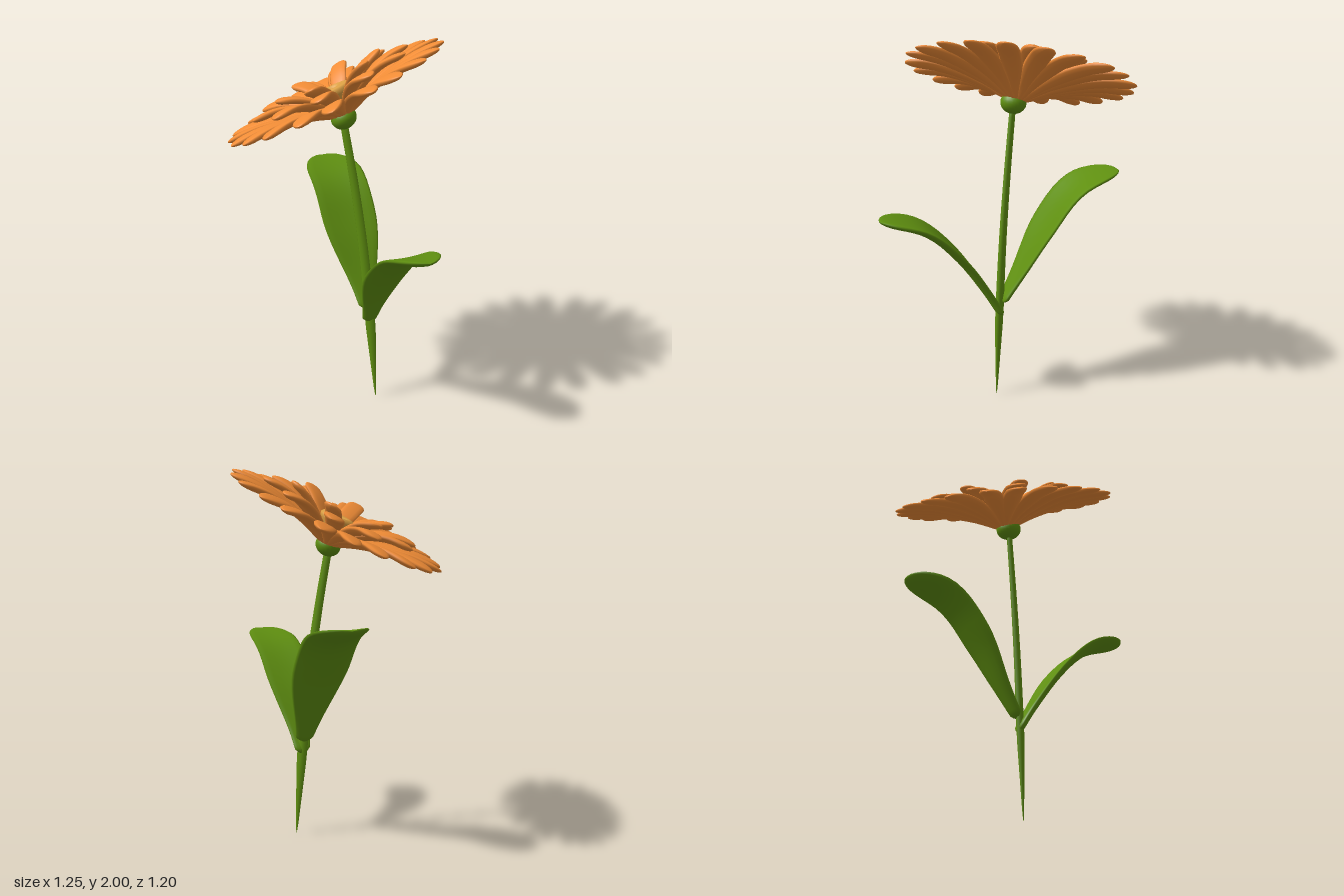
import * as THREE from 'three';

const green = new THREE.MeshStandardMaterial({ color: 0x5f8f10, side: THREE.DoubleSide });
const orange = new THREE.MeshStandardMaterial({ color: 0xf08c36, side: THREE.DoubleSide });
const yellow = new THREE.MeshStandardMaterial({ color: 0xdba044, side: THREE.DoubleSide });

const vec = (p) => new THREE.Vector3(...p);

// Closed blade swept along a curve: half-width and half-thickness follow t, edges lift by cup
function blade(points, lateral, half, thick, cup, rings = 20, sides = 12) {
  const curve = new THREE.CatmullRomCurve3(points.map(vec));
  const pos = [], index = [];
  for (let i = 0; i <= rings; i++) {
    const t = 0.5 - 0.5 * Math.cos((i / rings) * Math.PI);
    const c = curve.getPointAt(t);
    const n = curve.getTangentAt(t).cross(lateral).normalize();
    const w = half(t), h = thick(t);
    for (let j = 0; j < sides; j++) {
      const a = (j / sides) * Math.PI * 2;
      const p = c.clone()
        .addScaledVector(lateral, w * Math.cos(a))
        .addScaledVector(n, h * Math.sin(a) + cup * w * Math.cos(a) ** 2);
      pos.push(p.x, p.y, p.z);
      if (i < rings) {
        const k = (j + 1) % sides, r = i * sides;
        index.push(r + j, r + k, r + sides + j, r + k, r + sides + k, r + sides + j);
      }
    }
  }
  const g = new THREE.BufferGeometry();
  g.setAttribute('position', new THREE.Float32BufferAttribute(pos, 3));
  g.setIndex(index);
  g.computeVertexNormals();
  return g;
}

// Rounds both ends of a blade to zero
const ends = (t, tip) =>
  Math.sqrt(Math.max(0, 1 - Math.max(0, (t - 1 + tip) / tip) ** 2)) * Math.sqrt(Math.min(1, t / 0.03));
// Narrow at the base, full width from "wide" onward, rounded tip
const outline = (w, base, wide, tip) => (t) =>
  w * (base + (1 - base) * THREE.MathUtils.smoothstep(t, -0.05, wide)) * ends(t, tip);

function add(parent, name, geometry, material) {
  const m = new THREE.Mesh(geometry, material);
  m.name = name;
  parent.add(m);
  return m;
}

export function createModel() {
  const model = new THREE.Group();
  model.name = 'flower';

  // Stem, tapering to a point at the bottom
  const stemPath = [[0.165, 0, 0.03], [0.13, 0.45, 0.03], [0.085, 0.9, 0.03], [0.03, 1.27, 0.03], [-0.03, 1.6, 0.03]];
  const taper = (t) => Math.min(1, 0.1 + 3.2 * t) * (1 - 0.35 * t);
  add(model, 'stem', blade(stemPath, new THREE.Vector3(1, 0, 0),
    (t) => 0.034 * taper(t) * ends(t, 0.02), (t) => 0.022 * taper(t) * ends(t, 0.02), 0, 24, 8), green);

  // Two arching leaves
  const leaves = [
    ['leftLeaf', [[0.12, 0.47, 0.02], [0.175, 0.61, 0.08], [0.285, 0.83, 0.19], [0.42, 1.0, 0.31], [0.6, 1.085, 0.455]], 0.135],
    ['rightLeaf', [[0.11, 0.54, 0.02], [0.04, 0.7, -0.05], [-0.07, 0.94, -0.15], [-0.19, 1.14, -0.265], [-0.36, 1.23, -0.43]], 0.16],
  ];
  for (const [name, path, w] of leaves) {
    const d = vec(path[4]).sub(vec(path[0])).setY(0).normalize();
    const lateral = new THREE.Vector3(d.z, 0, -d.x);
    add(model, name, blade(path, lateral, outline(w, 0.3, 0.55, 0.22),
      (t) => 0.02 * ends(t, 0.12), 0.17, 28, 16), green);
  }

  // Tilted flower head
  const head = new THREE.Group();
  head.name = 'flowerHead';
  head.position.set(-0.022, 1.61, 0.005);
  head.rotation.set(0.09, 0, THREE.MathUtils.degToRad(25.2));
  model.add(head);

  const cup = add(head, 'calyx', new THREE.SphereGeometry(0.068, 24, 16), green);
  cup.scale.y = 0.85;
  cup.position.set(-0.005, 0.005, 0.022);

  // Dimpled centre, narrow below
  const profile = [[0, 0.02], [0.03, 0.03], [0.06, 0.09], [0.09, 0.135], [0.096, 0.155], [0.085, 0.168],
    [0.06, 0.172], [0.038, 0.165], [0.028, 0.148], [0, 0.142]].map((p) => new THREE.Vector2(...p));
  add(head, 'centre', new THREE.LatheGeometry(profile, 28), yellow);

  // Three petal rings: name, count, first angle in degrees, half-width, path
  const rings = [
    ['outerPetal', 21, -90, 0.056, [[0.02, 0.02, 0], [0.2, 0.09, 0], [0.42, 0.14, 0], [0.605, 0.146, 0]]],
    ['middlePetal', 10, 0, 0.055, [[0.03, 0.04, 0], [0.15, 0.12, 0], [0.3, 0.18, 0], [0.44, 0.19, 0]]],
    ['innerPetal', 6, 20, 0.05, [[0.03, 0.05, 0], [0.1, 0.12, 0], [0.19, 0.19, 0], [0.3, 0.235, 0]]],
  ];
  const lateral = new THREE.Vector3(0, 0, -1);
  for (const [name, count, start, w, path] of rings) {
    const g = blade(path, lateral, outline(w, 0.4, 0.6, 0.18), (t) => 0.018 * ends(t, 0.16), 0.12);
    for (let i = 0; i < count; i++) {
      const petal = add(head, name, g, orange);
      // Slight irregularity in direction and roll
      petal.rotation.order = 'YXZ';
      petal.rotation.y = -THREE.MathUtils.degToRad(start + (i * 360) / count + Math.sin(i * 5.3));
      petal.rotation.x = 0.07 * Math.sin(i * 2.7 + count);
    }
  }
  return model;
}
